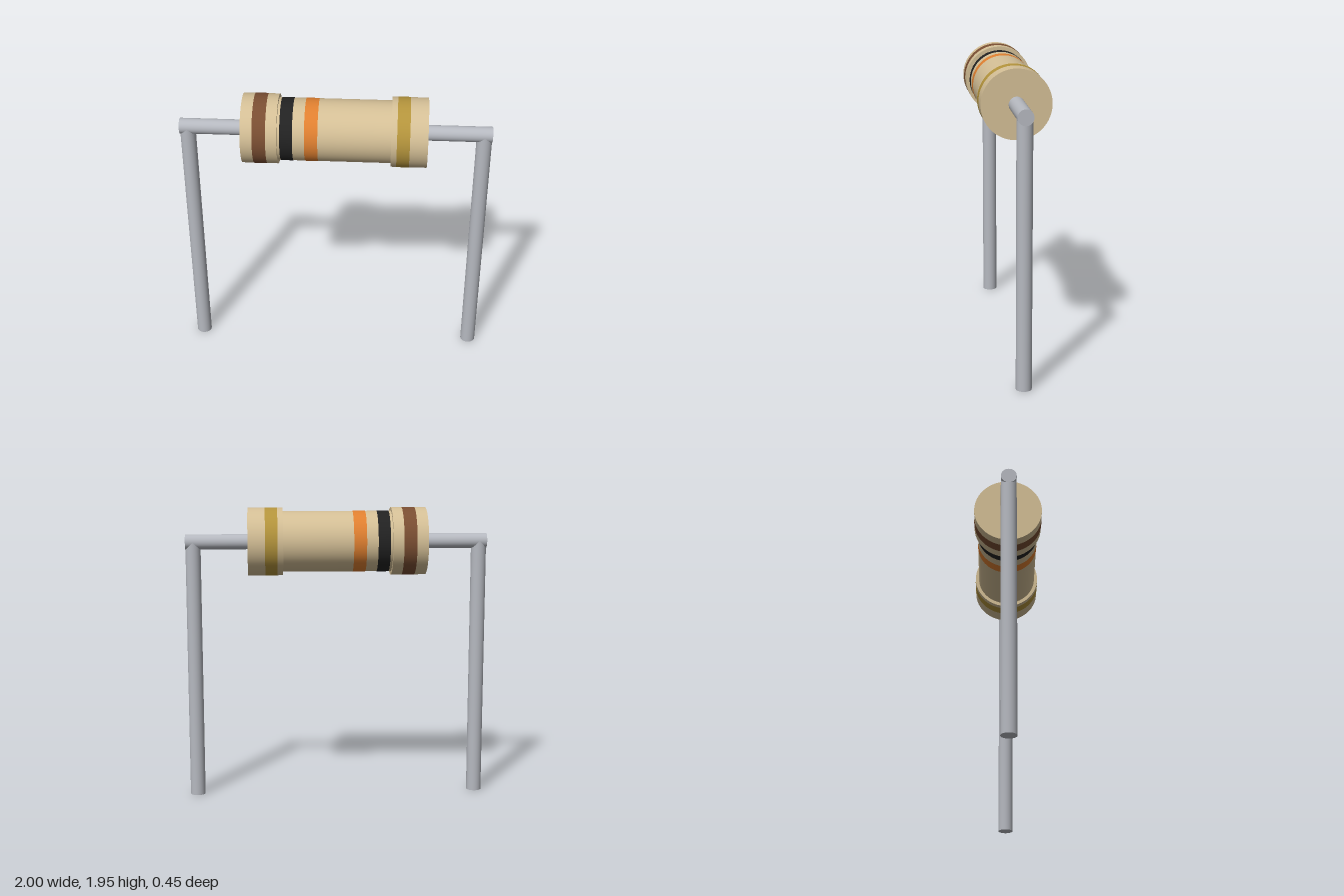
import * as THREE from 'three';

const AXIS_Y = 1.722;   // height of the body's axis
const CORE_R = 0.2;
const CAP_R = 0.223;
const WIRE_R = 0.05;

function material(name, color) {
  const m = new THREE.MeshStandardMaterial({ color });
  m.name = name;
  return m;
}

export function createModel() {
  const tan = material('tan', 0xd4bf96);
  const brown = material('brown', 0x7a4e32);
  const black = material('black', 0x222222);
  const orange = material('orange', 0xe08030);
  const gold = material('gold', 0xb4943c);
  const metal = material('metal', 0xb6b9c0);

  const model = new THREE.Group();
  model.name = 'resistor';

  // Cylinder lying along x from x0 to x1
  function rod(name, x0, x1, radius, mat, open = false, sides = 64) {
    const geo = new THREE.CylinderGeometry(radius, radius, x1 - x0, sides, 1, open);
    geo.rotateZ(-Math.PI / 2);
    const mesh = new THREE.Mesh(geo, mat);
    mesh.name = name;
    mesh.position.set((x0 + x1) / 2, AXIS_Y, 0);
    model.add(mesh);
  }

  // Body: slim core with a wider cap at each end
  rod('core', -0.36, 0.36, CORE_R, tan);
  rod('rightCap', -0.588, -0.358, CAP_R, tan);
  rod('leftCap', 0.358, 0.588, CAP_R, tan);

  // Painted bands, as thin sleeves
  const bands = [
    ['brownBand', -0.513, -0.428, CAP_R, brown],
    ['blackBand', -0.342, -0.262, CORE_R, black],
    ['orangeBand', -0.187, -0.103, CORE_R, orange],
    ['goldBand', 0.394, 0.475, CAP_R, gold],
  ];
  for (const [name, x0, x1, r, mat] of bands) rod(name, x0, x1, r + 0.0015, mat, true);

  // Wire leads: a horizontal piece and a vertical leg on each side
  for (const [side, s] of [['left', 1], ['right', -1]]) {
    rod(side + 'Lead', s > 0 ? 0.57 : -1, s > 0 ? 1 : -0.57, WIRE_R, metal, false, 32);
    const leg = new THREE.Mesh(new THREE.CylinderGeometry(WIRE_R, WIRE_R, AXIS_Y, 32), metal);
    leg.name = side + 'Leg';
    leg.position.set(s * 0.95, AXIS_Y / 2, 0);
    model.add(leg);
  }

  return model;
}
